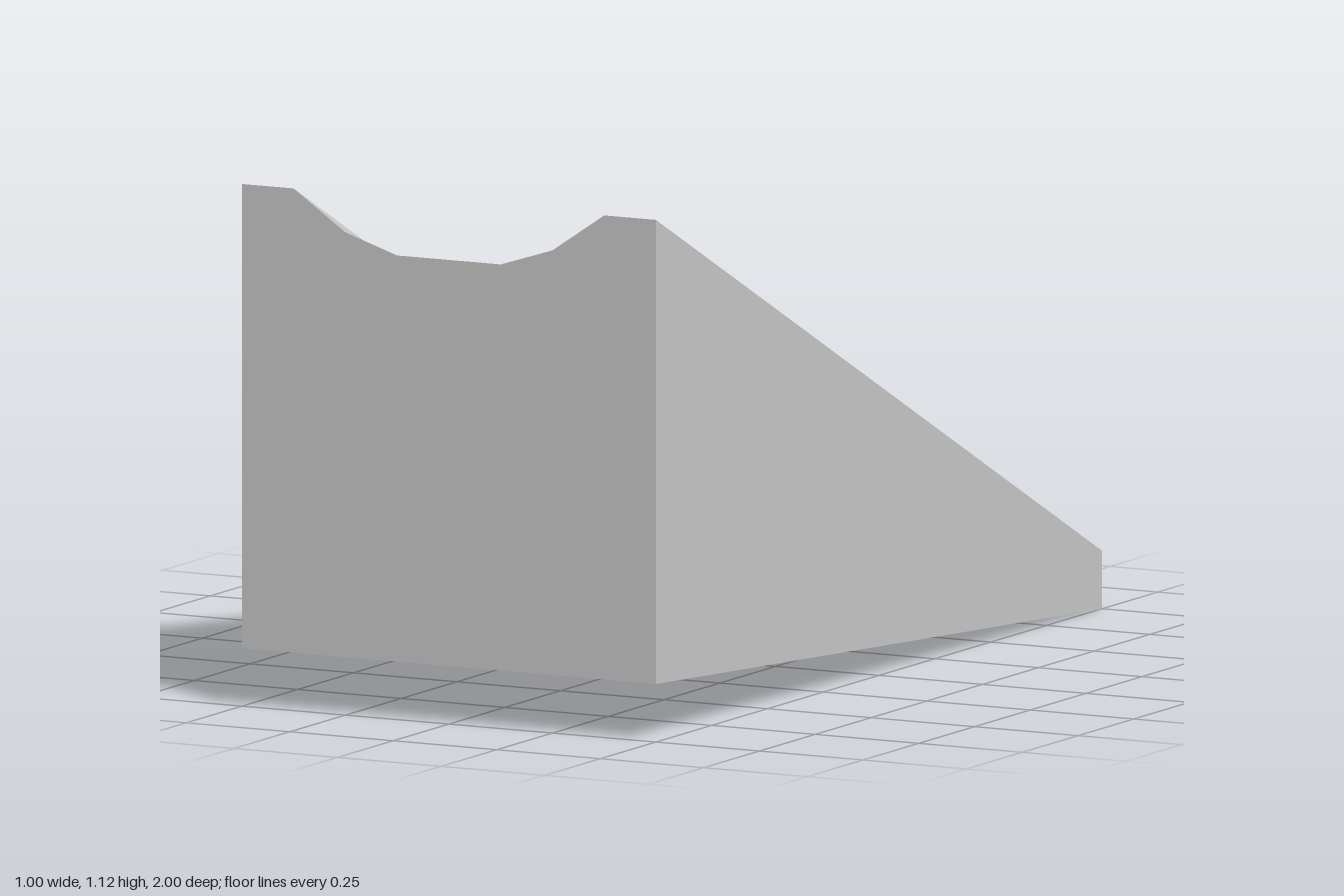
import * as THREE from 'three';

export function createModel() {
  const group = new THREE.Group();

  // Half of the trough section at the tall front end: [x, top height]
  const half = [[0.125, 1], [0.25, 1.04], [0.375, 1.125], [0.5, 1.125]];
  const profile = [...half.map(([x, y]) => [-x, y]).reverse(), ...half];

  const positions = [];
  // Corners run counter-clockwise as seen from outside
  const quad = (a, b, c, d) => positions.push(...a, ...b, ...c, ...a, ...c, ...d);

  // Four corners of the ramp at one profile point; the top falls by 1, the base by 0.125
  const section = ([x, y]) => ({
    frontTop: [x, y, 1],
    backTop: [x, y - 1, -1],
    frontBase: [x, 0.125, 1],
    backBase: [x, 0, -1],
  });
  const sections = profile.map(section);

  // Sloped trough, underside, front and back, column by column
  for (let i = 0; i < sections.length - 1; i++) {
    const l = sections[i], r = sections[i + 1];
    quad(l.frontTop, r.frontTop, r.backTop, l.backTop);
    quad(l.backBase, r.backBase, r.frontBase, l.frontBase);
    quad(l.frontBase, r.frontBase, r.frontTop, l.frontTop);
    // The trough floor meets the base at the back, so the middle has no back face
    if (l.backTop[1] > 0 || r.backTop[1] > 0) quad(r.backBase, l.backBase, l.backTop, r.backTop);
  }

  // Side walls
  const a = sections[0], b = sections[sections.length - 1];
  quad(a.backBase, a.frontBase, a.frontTop, a.backTop);
  quad(b.frontBase, b.backBase, b.backTop, b.frontTop);

  const geometry = new THREE.BufferGeometry();
  geometry.setAttribute('position', new THREE.Float32BufferAttribute(positions, 3));
  geometry.computeVertexNormals();

  const ramp = new THREE.Mesh(
    geometry,
    new THREE.MeshStandardMaterial({ color: 0xcccccc, flatShading: true })
  );
  ramp.name = 'troughRamp';
  group.add(ramp);
  return group;
}
